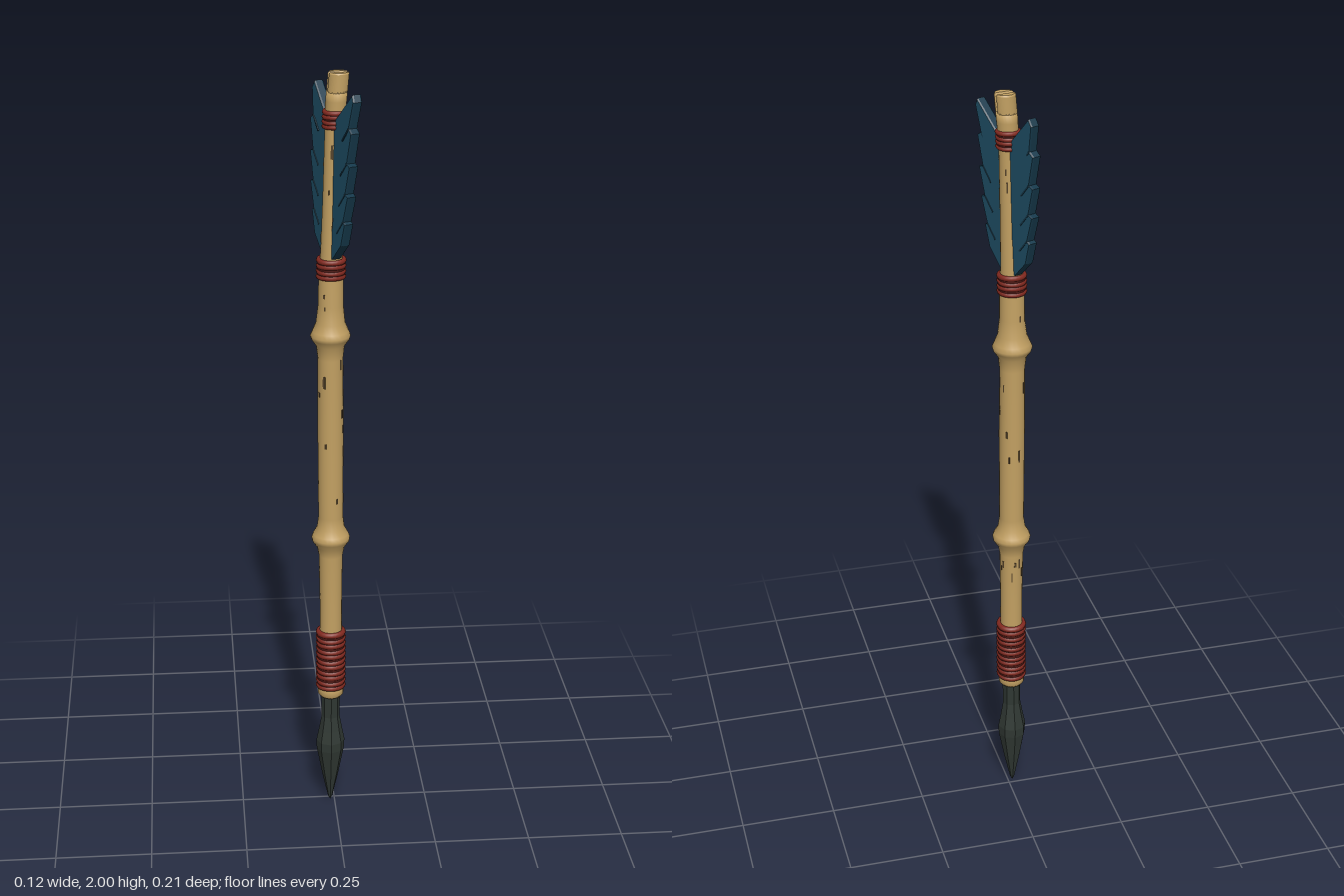
import * as THREE from 'three';

const mat = (name, color, side = THREE.FrontSide) => {
  const m = new THREE.MeshStandardMaterial({ color, side });
  m.name = name;
  return m;
};

// Centre line of the slightly bent arrow: [y, x, z]
const SPINE = [[0, -0.012, 0.013], [0.45, -0.01, 0.018], [0.8, -0.01, 0.015],
  [1.34, -0.01, 0.008], [1.52, -0.008, 0.005], [1.9, 0.002, 0], [2, 0.011, -0.001]];

// Shaft radius: [radius, y]
const SHAFT = [[0, 0.328], [0.028, 0.328], [0.034, 0.335], [0.034, 0.35], [0.03, 0.36], [0.029, 0.6],
  [0.031, 0.74], [0.036, 0.765], [0.048, 0.782], [0.05, 0.792], [0.046, 0.802], [0.036, 0.82],
  [0.032, 0.85], [0.033, 1.1], [0.032, 1.28], [0.036, 1.315], [0.048, 1.332], [0.051, 1.342],
  [0.046, 1.353], [0.037, 1.375], [0.032, 1.42], [0.031, 1.5], [0.027, 1.56], [0.025, 1.7],
  [0.024, 1.88], [0.026, 1.93], [0.026, 1.955], [0, 1.955]];

// Linear interpolation in a table keyed by one column
function lookup(table, key, col, v) {
  let i = 1;
  while (i < table.length - 1 && table[i][key] < v) i++;
  const a = table[i - 1], b = table[i];
  const t = THREE.MathUtils.clamp((v - a[key]) / (b[key] - a[key] || 1), 0, 1);
  return a[col] + (b[col] - a[col]) * t;
}

// Shift every vertex onto the bent centre line
function bend(geo) {
  const p = geo.attributes.position;
  for (let i = 0; i < p.count; i++) {
    const y = p.getY(i);
    p.setX(i, p.getX(i) + lookup(SPINE, 0, 1, y));
    p.setZ(i, p.getZ(i) + lookup(SPINE, 0, 2, y));
  }
  return geo;
}

const lathe = (pts, sides) => new THREE.LatheGeometry(pts.map(([r, y]) => new THREE.Vector2(r, y)), sides);

export function createModel() {
  const model = new THREE.Group();
  model.name = 'arrow';
  const bamboo = mat('bamboo', 0xc2a062);
  const crack = mat('dark bamboo cracks', 0x55432a);
  const thread = mat('red thread', 0x82291f);
  const groove = mat('dark red grooves', 0x4a1712);
  const feather = mat('blue feather', 0x1f5068);
  const featherDark = mat('dark feather edge', 0x16394b);
  const iron = mat('dark iron', 0x303833);
  iron.flatShading = true;

  const add = (name, geo, material, parent = model) => {
    const mesh = new THREE.Mesh(bend(geo), material);
    mesh.name = name;
    parent.add(mesh);
    return mesh;
  };

  // Bamboo shaft with two swollen nodes
  add('shaft', lathe(SHAFT, 24), bamboo);

  // Two nock prongs with a string slot between them
  for (const side of [0, 1]) {
    const s = new THREE.Shape();
    s.absarc(0, 0, 0.024, 0.3, Math.PI - 0.3, false);
    const g = new THREE.ExtrudeGeometry(s, {
      depth: 0.044, bevelEnabled: true, bevelSize: 0.002, bevelThickness: 0.004, bevelSegments: 1, curveSegments: 10 });
    g.rotateX(-Math.PI / 2);
    g.translate(0, 1.952, 0);
    g.rotateY(side * Math.PI + 0.2);
    add('nockProng', g, bamboo);
  }

  // Iron point: neck, flared blade and sharp tip
  add('arrowhead', lathe([[0, 0], [0.006, 0.012], [0.022, 0.085], [0.037, 0.165], [0.038, 0.19],
    [0.031, 0.225], [0.024, 0.265], [0.025, 0.335], [0, 0.335]], 8), iron);

  // Thread bindings: a dark core with stacked coils
  function binding(name, y0, y1, radius, coils) {
    const group = new THREE.Group();
    group.name = name;
    const step = (y1 - y0) / coils, tube = step * 0.5;
    const core = new THREE.CylinderGeometry(radius - 0.003, radius - 0.003, y1 - y0 - step * 0.5, 24);
    core.translate(0, (y0 + y1) / 2, 0);
    add('core', core, groove, group);
    for (let i = 0; i < coils; i++) {
      const ring = new THREE.TorusGeometry(radius - tube, tube, 8, 24);
      ring.rotateX(Math.PI / 2 + (i % 2 ? 0.04 : -0.04));
      ring.translate(0, y0 + (i + 0.5) * step, 0);
      add('coil', ring, thread, group);
    }
    model.add(group);
  }
  binding('headBinding', 0.352, 0.525, 0.04, 11);
  binding('lowerFeatherBinding', 1.488, 1.543, 0.038, 4);
  binding('upperFeatherBinding', 1.863, 1.91, 0.032, 4);

  // Serrated feathers on opposite sides
  const outline = [[0, 1.53], [0.03, 1.548], [0.07, 1.59], [0.086, 1.645], [0.077, 1.65], [0.098, 1.715],
    [0.084, 1.72], [0.103, 1.79], [0.088, 1.795], [0.106, 1.87], [0.092, 1.88], [0.106, 1.945],
    [0.098, 1.96], [0.022, 1.885], [0, 1.87]];
  const vane = new THREE.Shape(outline.map(([u, y]) => new THREE.Vector2(u, y)));
  for (const angle of [-1.17, Math.PI - 1.17]) {
    const group = new THREE.Group();
    group.name = 'feather';
    const g = new THREE.ExtrudeGeometry(vane, {
      depth: 0.016, bevelEnabled: true, bevelSize: 0.002, bevelThickness: 0.004, bevelSegments: 1 });
    g.translate(0, 0, -0.008);
    g.rotateY(angle);
    add('vane', g, [feather, featherDark], group);
    // Barb splits running inward from each notch
    for (const i of [4, 6, 8, 10]) {
      for (const face of [-1, 1]) {
        const slit = new THREE.BoxGeometry(0.045, 0.004, 0.003);
        slit.translate(-0.022, 0, 0);
        slit.rotateZ(0.85);
        slit.translate(outline[i][0], outline[i][1], face * 0.0118);
        slit.rotateY(angle);
        add('barbSplit', slit, featherDark, group);
      }
    }
    model.add(group);
  }

  // Fine weathering cracks along the bamboo
  let seed = 7;
  const rand = () => (seed = (seed * 16807) % 2147483647) / 2147483647;
  const cracks = new THREE.Group();
  cracks.name = 'cracks';
  for (const [y0, y1, n] of [[0.56, 0.73, 9], [0.87, 1.27, 20], [1.41, 1.47, 4], [1.58, 1.84, 10]]) {
    for (let i = 0; i < n; i++) {
      const y = y0 + (y1 - y0) * rand();
      const g = new THREE.BoxGeometry(0.003 + 0.003 * rand(), 0.01 + 0.025 * rand(), 0.003);
      g.translate(0, y, lookup(SHAFT, 1, 0, y) - 0.0008);
      g.rotateY(rand() * Math.PI * 2);
      add('crack', g, crack, cracks);
    }
  }
  model.add(cracks);
  return model;
}
